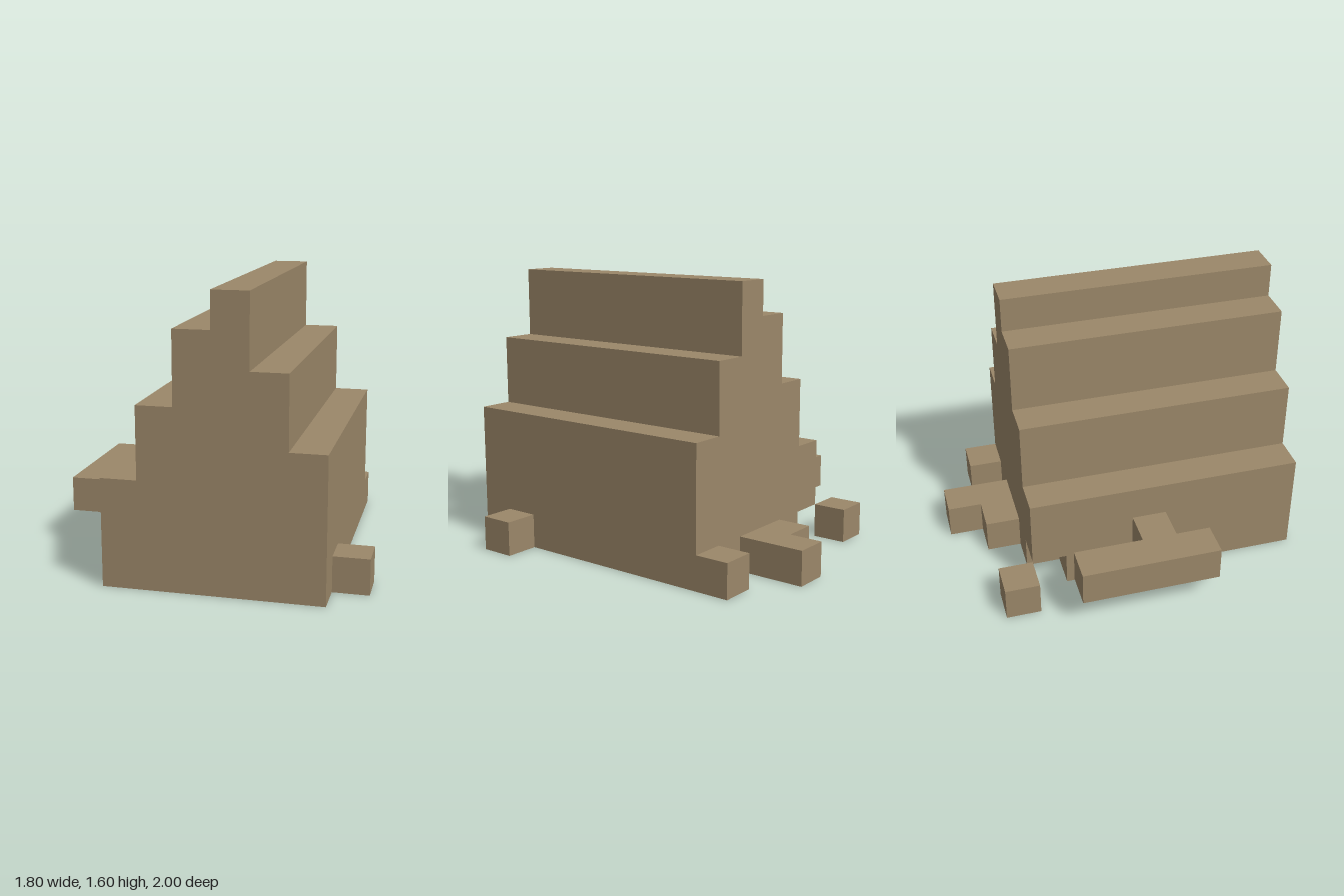
import * as THREE from 'three';
import { mergeGeometries } from 'three/addons/utils/BufferGeometryUtils.js';

const U = 0.2; // block size; block (0,0,0) has its corner at (-0.9, 0, -1)

// Blocks of a cuboid, given inclusive index ranges
function blocks(i0, i1, j0, j1, k0, k1) {
  const out = [];
  for (let i = i0; i <= i1; i++)
    for (let j = j0; j <= j1; j++)
      for (let k = k0; k <= k1; k++) out.push([i, j, k]);
  return out;
}

// Outward directions; the underside on the ground is left open
const DIRS = [[1, 0, 0], [-1, 0, 0], [0, 1, 0], [0, -1, 0], [0, 0, 1], [0, 0, -1]]
  .map(d => new THREE.Vector3(...d));

// Outer faces of a part: a square wherever the neighbouring block is empty
function shell(cells, filled) {
  const faces = [];
  const zAxis = new THREE.Vector3(0, 0, 1);
  for (const [i, j, k] of cells) {
    for (const d of DIRS) {
      if (j + d.y < 0 || filled.has([i + d.x, j + d.y, k + d.z].join())) continue;
      const face = new THREE.PlaneGeometry(U, U);
      face.applyQuaternion(new THREE.Quaternion().setFromUnitVectors(zAxis, d));
      face.translate(
        -0.9 + U * (i + 0.5 + d.x / 2),
        U * (j + 0.5 + d.y / 2),
        -1 + U * (k + 0.5 + d.z / 2));
      faces.push(face);
    }
  }
  return mergeGeometries(faces);
}

export function createModel() {
  const group = new THREE.Group();
  const stone = new THREE.MeshStandardMaterial({ color: 0x9b8769, side: THREE.DoubleSide });
  stone.name = 'brown stone';

  // Stepped ridge, with a notch in the lower back corner
  const heights = [3, 5, 7, 8, 6, 4];
  const ridge = heights
    .flatMap((h, n) => blocks(n + 2, n + 2, 0, h - 1, 2, 9))
    .filter(([i, j, k]) => !(i === 2 && j === 0 && k === 2));

  const parts = {
    steppedRidge: ridge,
    leftSideBlock: blocks(8, 8, 0, 0, 8, 8),
    backLeftBlock: blocks(7, 7, 0, 0, 1, 1),
    backMiddleBlocks: [...blocks(4, 5, 0, 0, 1, 1), [5, 0, 0]],
    backRightBlock: blocks(1, 1, 0, 0, 1, 1),
    rightLedge: blocks(1, 1, 0, 0, 4, 6),
    railLink: blocks(1, 1, 1, 1, 5, 5),
    rightRail: blocks(0, 0, 1, 1, 3, 6),
  };

  const filled = new Set(Object.values(parts).flat().map(c => c.join()));
  for (const [name, cells] of Object.entries(parts)) {
    const mesh = new THREE.Mesh(shell(cells, filled), stone);
    mesh.name = name;
    group.add(mesh);
  }
  return group;
}
